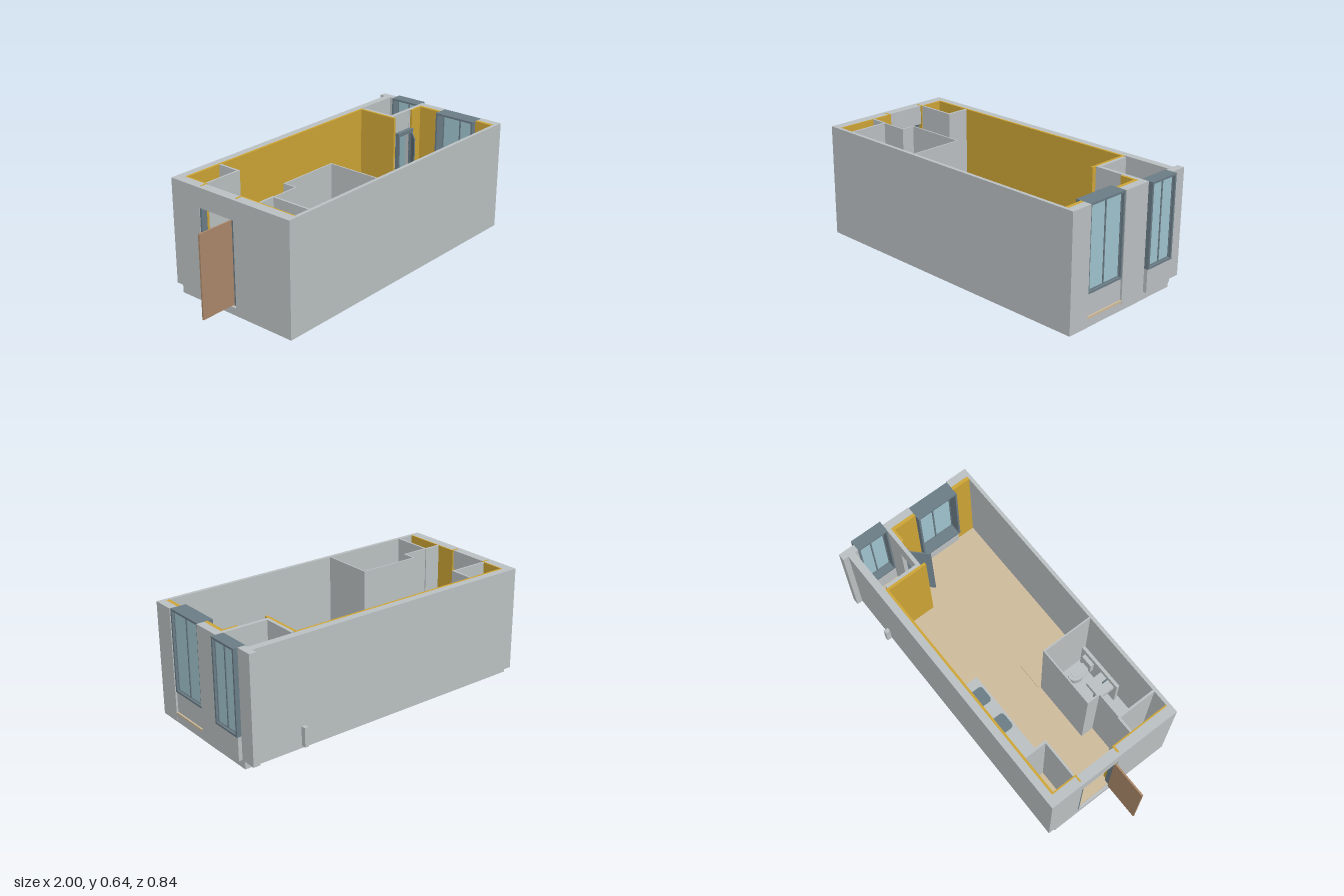
import * as THREE from 'three';

const mat = (name, color) => Object.assign(new THREE.MeshStandardMaterial({ color }), { name });

export function createModel() {
  const root = new THREE.Group();
  root.name = 'studioApartment';
  const wall = mat('wall grey', 0xbdc2c4);
  const wood = mat('floor beige', 0xd0bd9d);
  const lining = mat('lining yellow', 0xcfa636);
  const slate = mat('frame slate', 0x6c7e88);
  const glass = mat('glass blue', 0xa2c6d0);
  const brown = mat('door brown', 0xad8a6b);

  const TOP = 0.635, FLOOR = 0.055, LOW = 0.043;

  // Box given by its limits on each axis
  const box = (name, m, x0, x1, y0, y1, z0, z1, parent = root) => {
    const mesh = new THREE.Mesh(new THREE.BoxGeometry(x1 - x0, y1 - y0, z1 - z0), m);
    mesh.position.set((x0 + x1) / 2, (y0 + y1) / 2, (z0 + z1) / 2);
    mesh.name = name;
    parent.add(mesh);
    return mesh;
  };
  // Full-height partition standing on the floor
  const partition = (name, m, x0, x1, z0, z1) => box(name, m, x0, x1, FLOOR, TOP, z0, z1);

  // Base and floor
  box('baseSlab', wall, -0.79, 0.974, 0, LOW, -0.345, 0.41);
  box('floor', wood, -0.775, 0.93, LOW, FLOOR, -0.345, 0.4);
  box('windowFloorEdge', wood, 0.93, 0.974, LOW, FLOOR, 0.035, 0.29);

  // Outer walls
  box('frontWall', wall, -0.79, 0.975, 0, TOP, 0.398, 0.418);
  box('backWall', wall, -0.79, 0.975, LOW, TOP, -0.387, -0.345);
  box('cornerPillar', wall, 0.935, 0.975, LOW, TOP, -0.42, -0.325);
  box('backPost', wall, 0.645, 0.667, LOW, 0.15, -0.415, -0.387);
  box('rightPier', wall, 0.93, 0.975, 0, TOP, 0.29, 0.4);
  box('rightPier', wall, 0.93, 0.975, 0, TOP, -0.135, 0.035);
  box('entranceWall', wall, -0.79, -0.735, 0, TOP, 0.045, 0.4);
  box('entranceWall', wall, -0.79, -0.735, LOW, TOP, -0.35, -0.19);
  box('entranceLintel', wall, -0.79, -0.735, 0.525, TOP, -0.19, 0.045);

  // Yellow lining
  partition('backLining', lining, -0.735, 0.66, -0.345, -0.332);
  partition('entranceLining', lining, -0.735, -0.727, -0.335, -0.195);
  partition('entranceLining', lining, -0.735, -0.727, 0.047, 0.398);
  box('entranceReveal', lining, -0.77, -0.727, FLOOR, TOP + 0.001, -0.198, -0.189);
  box('entranceReveal', lining, -0.77, -0.727, FLOOR, TOP + 0.001, 0.044, 0.055);
  partition('rightLining', lining, 0.91, 0.93, 0.288, 0.398);
  partition('rightLining', lining, 0.91, 0.93, -0.1, 0.035);
  partition('smallRoomLining', lining, 0.645, 0.66, -0.335, -0.09);
  partition('smallRoomLining', lining, 0.83, 0.93, -0.113, -0.1);

  // Entrance door, standing open
  box('entranceDoor', brown, -1, -0.785, 0.06, 0.522, 0.024, 0.033);
  box('entranceFrame', slate, -0.788, -0.75, FLOOR, 0.525, 0.034, 0.044);
  box('entranceFrame', slate, -0.788, -0.75, FLOOR, 0.525, -0.189, -0.179);

  // Two-pane window: frame of bars, sash bars and glass
  const makeWindow = (name, xIn, xOut, z0, z1, recess) => {
    const g = new THREE.Group();
    g.name = name;
    root.add(g);
    const y0 = 0.172, b = 0.011, mid = (z0 + z1) / 2, xs = xOut - recess;
    box('frameTop', slate, xIn, xOut, TOP - b, TOP, z0, z1, g);
    box('frameSill', slate, xIn, xOut, y0, y0 + b, z0, z1, g);
    box('frameSide', slate, xIn, xOut, y0 + b, TOP - b, z0, z0 + b, g);
    box('frameSide', slate, xIn, xOut, y0 + b, TOP - b, z1 - b, z1, g);
    for (const [a, c] of [[z0 + b, mid], [mid, z1 - b]]) {
      box('sashSide', slate, xs - 0.015, xs, y0 + b, TOP - b, a, a + 0.004, g);
      box('sashSide', slate, xs - 0.015, xs, y0 + b, TOP - b, c - 0.004, c, g);
      box('sashRail', slate, xs - 0.015, xs, TOP - b - 0.004, TOP - b, a, c, g);
      box('sashRail', slate, xs - 0.015, xs, y0 + b, y0 + b + 0.004, a, c, g);
      box('pane', glass, xs - 0.01, xs - 0.004, y0 + b + 0.004, TOP - b - 0.004, a + 0.004, c - 0.004, g);
    }
  };
  makeWindow('largeWindow', 0.88, 0.97, 0.035, 0.29, 0.012);
  makeWindow('smallWindow', 0.93, 1.0, -0.325, -0.135, 0.012);
  box('largeWindowPanel', wall, 0.9, 0.965, FLOOR, 0.172, 0.036, 0.289);
  box('smallWindowPanel', wall, 0.935, 0.995, LOW, 0.172, -0.324, -0.136);

  // Small room with an inner door ajar
  partition('smallRoomWall', wall, 0.66, 0.678, -0.332, -0.12);
  box('smallRoomWall', wall, 0.66, 0.7, FLOOR, TOP, -0.136, -0.115);
  box('smallRoomWall', wall, 0.82, 0.935, FLOOR, TOP, -0.136, -0.113);
  box('smallRoomLintel', wall, 0.7, 0.82, 0.52, TOP, -0.136, -0.115);
  box('innerDoorFrame', slate, 0.695, 0.83, 0.505, 0.525, -0.115, -0.088);
  for (const x of [0.695, 0.82])
    box('innerDoorFrame', slate, x, x + 0.01, FLOOR, 0.505, -0.115, -0.088);
  const leaf = box('innerDoor', slate, -0.06, 0.06, 0.06, 0.505, -0.003, 0.003);
  leaf.position.x = 0.777;
  leaf.position.z = -0.047;
  leaf.rotation.y = Math.PI / 4;

  // Closets on both sides of the entrance
  partition('backClosetWall', wall, -0.51, -0.497, -0.332, -0.195);
  partition('backClosetWall', wall, -0.727, -0.51, -0.206, -0.195);
  partition('frontClosetWall', wall, -0.727, -0.63, 0.162, 0.175);

  // Bathroom with a stepped outline
  box('bathroomFloor', wall, -0.63, -0.12, FLOOR, 0.06, 0.175, 0.398);
  box('bathroomFloor', wall, -0.475, -0.12, FLOOR, 0.06, 0.095, 0.175);
  partition('bathroomWall', wall, -0.638, -0.626, 0.168, 0.398);
  partition('bathroomWall', wall, -0.626, -0.475, 0.168, 0.176);
  partition('bathroomWall', wall, -0.48, -0.472, 0.092, 0.176);
  partition('bathroomWall', wall, -0.472, -0.118, 0.092, 0.1);
  partition('bathroomWall', wall, -0.126, -0.118, 0.1, 0.398);
  box('serviceLedge', wall, -0.43, -0.135, 0.06, 0.28, 0.362, 0.38);

  // Washbasin and toilet
  const oval = (name, m, x, y, z, rt, rb, h, sx, sz) => {
    const mesh = new THREE.Mesh(new THREE.CylinderGeometry(rt, rb, h, 24), m);
    mesh.position.set(x, y, z);
    mesh.scale.set(sx, 1, sz);
    mesh.name = name;
    root.add(mesh);
  };
  box('washbasin', wall, -0.41, -0.3, 0.21, 0.245, 0.26, 0.362);
  oval('basinBowl', wall, -0.355, 0.246, 0.295, 0.05, 0.045, 0.006, 1, 0.65);
  oval('basinPedestal', wall, -0.355, 0.135, 0.31, 0.022, 0.026, 0.15, 1, 1);
  box('tap', slate, -0.358, -0.352, 0.245, 0.265, 0.325, 0.36);
  oval('toiletBowl', wall, -0.203, 0.11, 0.285, 0.04, 0.025, 0.1, 1, 1.5);
  oval('toiletSeat', wall, -0.203, 0.165, 0.285, 0.042, 0.042, 0.01, 1, 1.5);
  oval('toiletLid', wall, -0.203, 0.172, 0.285, 0.027, 0.027, 0.006, 1, 1.5);
  box('toiletCistern', wall, -0.24, -0.165, 0.15, 0.24, 0.34, 0.362);

  // Kitchen units with two dark rounded inserts
  box('kitchenCabinet', wall, -0.487, -0.255, FLOOR, 0.242, -0.328, -0.19);
  box('kitchenCounter', wall, -0.255, 0.095, FLOOR, 0.248, -0.315, -0.19);
  const r = 0.02, s = 0.05;
  const plate = new THREE.Shape();
  plate.absarc(s - r, s - r, r, 0, Math.PI / 2);
  plate.absarc(r - s, s - r, r, Math.PI / 2, Math.PI);
  plate.absarc(r - s, r - s, r, Math.PI, Math.PI * 1.5);
  plate.absarc(s - r, r - s, r, Math.PI * 1.5, Math.PI * 2);
  const plateGeo = new THREE.ExtrudeGeometry(plate, { depth: 0.004, bevelEnabled: false, curveSegments: 6 });
  plateGeo.rotateX(-Math.PI / 2);
  for (const x of [-0.2, -0.01]) {
    const insert = new THREE.Mesh(plateGeo, slate);
    insert.position.set(x, 0.248, -0.253);
    insert.name = 'counterInsert';
    root.add(insert);
  }

  // Low square on the floor
  box('floorSquare', wood, -0.11, 0.05, FLOOR, 0.062, 0.08, 0.238);

  return root;
}
